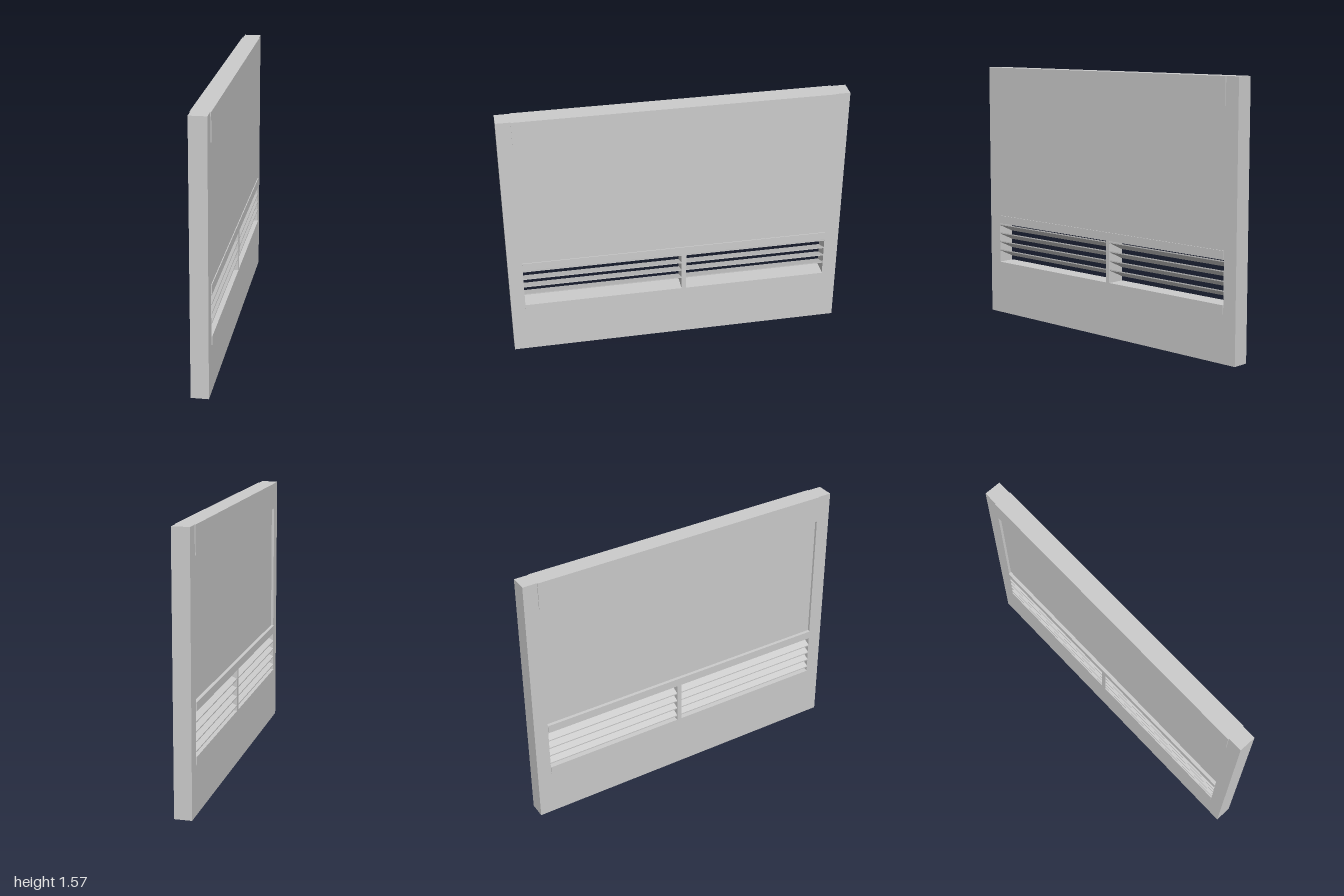
import * as THREE from 'three';

const HALF = 0.05;    // half thickness of the main panel
const PROUD = 0.055;  // half thickness of the raised rails
const INNER = 0.915;  // where the side stiles begin
const HEIGHT = 1.57;

export function createModel() {
  const group = new THREE.Group();
  group.name = 'louvredPanel';
  const material = new THREE.MeshStandardMaterial({ color: 0xcccccc });

  // Box given by its limits along each axis
  function block(name, [x0, x1], [y0, y1], [z0, z1]) {
    const mesh = new THREE.Mesh(new THREE.BoxGeometry(x1 - x0, y1 - y0, z1 - z0), material);
    mesh.position.set((x0 + x1) / 2, (y0 + y1) / 2, (z0 + z1) / 2);
    mesh.name = name;
    group.add(mesh);
  }
  const span = [-INNER, INNER];

  // Side stiles
  block('frontStile', [-HALF, HALF], [0, HEIGHT], [INNER, 1]);
  block('backStile', [-HALF, HALF], [0, HEIGHT], [-1, -INNER]);

  // Base and main panel, recessed on one face
  block('basePanel', [-HALF, HALF], [0, 0.28], span);
  block('mainPanel', [-0.035, HALF], [0.63, 1.41], span);

  // Raised rails
  block('topRail', [-PROUD, PROUD], [1.41, HEIGHT], span);
  block('upperVentRail', [-PROUD, PROUD], [0.58, 0.63], span);
  block('lowerVentRail', [-PROUD, PROUD], [0.28, 0.33], span);

  // Divider between the two vent openings
  const divider = [-0.06, -0.032];
  block('ventDivider', [-PROUD, PROUD], [0.33, 0.58], divider);

  // Sloping slats: low on the right-hand (-x) face, high on the other
  const section = new THREE.Shape([
    new THREE.Vector2(-0.053, 0),
    new THREE.Vector2(0.053, 0.049),
    new THREE.Vector2(0.053, 0.056),
    new THREE.Vector2(-0.053, 0.007),
  ]);
  for (const [z0, z1] of [[-INNER, divider[0]], [divider[1], INNER]]) {
    const geometry = new THREE.ExtrudeGeometry(section, { depth: z1 - z0, bevelEnabled: false });
    for (let i = 0; i < 4; i++) {
      const slat = new THREE.Mesh(geometry, material);
      slat.name = 'slat';
      slat.position.set(0, 0.356 + i * 0.0545, z0);
      group.add(slat);
    }
  }
  return group;
}
